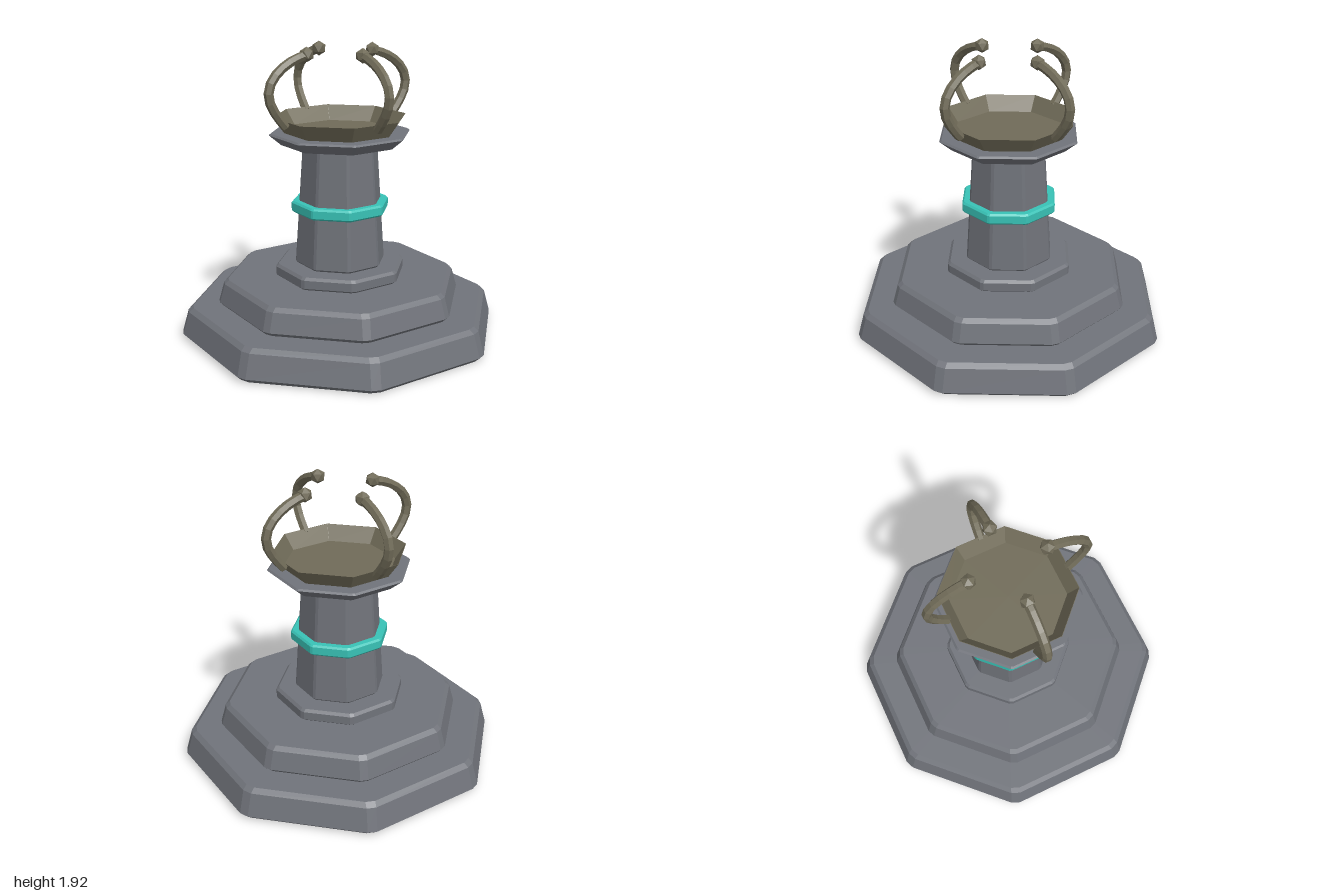
import * as THREE from 'three';

const material = (name, color) => Object.assign(new THREE.MeshStandardMaterial({ color }), { name });

// Non-indexed copy with one normal per face
function faceted(geometry) {
  const g = geometry.index ? geometry.toNonIndexed() : geometry;
  g.computeVertexNormals();
  return g;
}

// Octagon with cut corners: apothem a, cut length c along each side
function octagonRing(a, c, y) {
  const points = [];
  const half = a * Math.tan(Math.PI / 8) - c;
  for (let i = 0; i < 8; i++) {
    const t = (i * Math.PI) / 4;
    for (const s of [-half, half]) {
      points.push([a * Math.sin(t) + s * Math.cos(t), y, a * Math.cos(t) - s * Math.sin(t)]);
    }
  }
  return points;
}

// Skin over octagon sections [apothem, y], closed on top and, if wanted, below
function octagonLoft(sections, cut, closedBelow = false) {
  const rings = sections.map(([a, y]) => octagonRing(a, cut, y));
  const position = [];
  const bottom = rings[0], top = rings[rings.length - 1];
  const n = bottom.length;
  for (let i = 0; i < n; i++) {
    const j = (i + 1) % n;
    for (let r = 0; r < rings.length - 1; r++) {
      const [p, q, u, v] = [rings[r][i], rings[r][j], rings[r + 1][j], rings[r + 1][i]];
      position.push(...p, ...q, ...u, ...p, ...u, ...v);
    }
    position.push(0, top[0][1], 0, ...top[i], ...top[j]);
    if (closedBelow) position.push(0, bottom[0][1], 0, ...bottom[j], ...bottom[i]);
  }
  const g = new THREE.BufferGeometry();
  g.setAttribute('position', new THREE.Float32BufferAttribute(position, 3));
  g.computeVertexNormals();
  return g;
}

export function createModel() {
  const model = new THREE.Group();
  model.name = 'pedestal';
  const stone = material('grey stone', 0x70737a);
  stone.side = THREE.DoubleSide; // the lowest step is a hollow shell
  const bronze = material('dull bronze', 0x706b58);
  const teal = material('teal', 0x38c2b6);

  const add = (name, geometry, mat, parent = model) => {
    const mesh = new THREE.Mesh(geometry, mat);
    mesh.name = name;
    parent.add(mesh);
    return mesh;
  };

  // Stepped base, hollow underneath
  add('lowerStep', octagonLoft([[0.97, 0], [1, 0.03], [0.96, 0.182], [0.93, 0.208]], 0.033), stone);
  add('middleStep', octagonLoft([[0.745, 0.21], [0.768, 0.235], [0.735, 0.36], [0.708, 0.385]], 0.028), stone);
  add('columnFoot', octagonLoft([[0.39, 0.386], [0.407, 0.4], [0.407, 0.455], [0.39, 0.472]], 0.015), stone);

  // Column with its band, and the tray floating just above
  add('column', octagonLoft([[0.27, 0.473], [0.282, 0.486], [0.234, 1.255], [0.223, 1.267]], 0.012), stone);
  add('columnBand', octagonLoft([[0.293, 0.828], [0.304, 0.84], [0.304, 0.891], [0.293, 0.903]], 0.01, true), teal);
  add('tray', octagonLoft([[0.365, 1.283], [0.436, 1.348], [0.424, 1.359]], 0.008, true), stone);

  // Open bowl with a thin wall: outside up, inside down, floor on top
  add('bowl', octagonLoft([[0.342, 1.359], [0.407, 1.46], [0.404, 1.46], [0.342, 1.362]], 0.001), bronze);

  // Four curved claws on the diagonals, each tipped with a faceted bead
  const path = [
    [0.292, 1.43], [0.345, 1.525], [0.374, 1.615], [0.37, 1.69],
    [0.338, 1.76], [0.288, 1.815], [0.235, 1.85], [0.178, 1.872],
  ].map(([x, y]) => new THREE.Vector3(x * Math.SQRT2, y, 0));
  const arm = faceted(new THREE.TubeGeometry(new THREE.CatmullRomCurve3(path), 10, 0.031, 6));
  const bead = faceted(new THREE.IcosahedronGeometry(0.049, 0).rotateZ(Math.atan(2 / (1 + Math.sqrt(5)))));
  const end = faceted(new THREE.CircleGeometry(0.031, 6).rotateX(Math.PI / 2));
  for (let i = 0; i < 4; i++) {
    const claw = new THREE.Group();
    claw.name = `claw${i + 1}`;
    claw.rotation.y = Math.PI / 4 + (i * Math.PI) / 2;
    add('clawArm', arm, bronze, claw);
    add('clawTip', bead, bronze, claw).position.set(0.178 * Math.SQRT2, 1.874, 0);
    const foot = add('clawFoot', end, bronze, claw);
    foot.position.copy(path[0]);
    foot.rotation.z = -0.65;
    model.add(claw);
  }
  return model;
}
